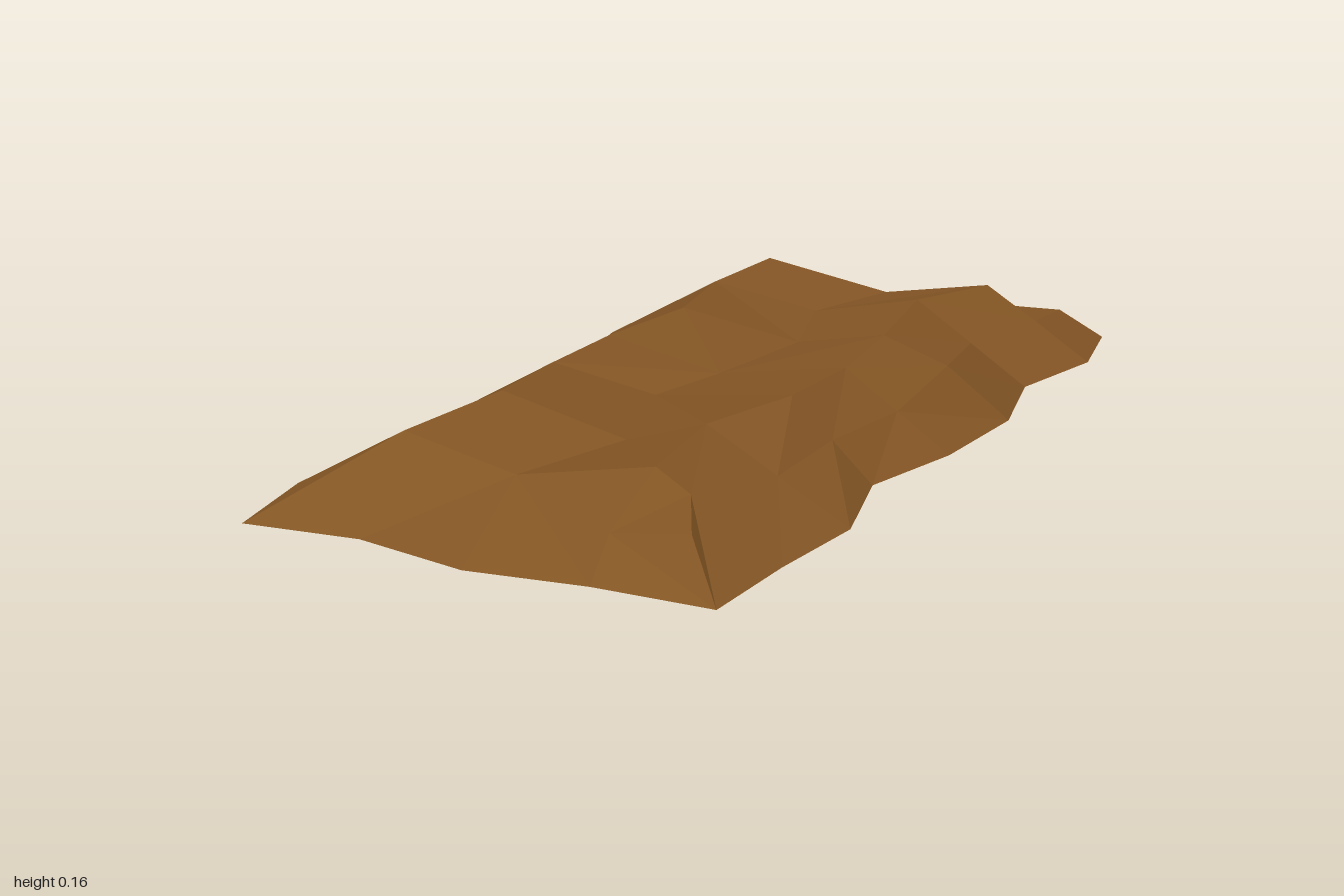
import * as THREE from 'three';

// Cross-sections from back to front: x of five points, z of five points,
// and heights of the left ridge, the hollow and the right ridge (the rim lies on the ground).
const sections = [
  { x: [-0.47, -0.23, 0.0, 0.25, 0.465], z: [-0.97, -0.95, -0.985, -1.0, -0.96], y: [0, 0, 0] },
  { x: [-0.51, -0.26, 0.03, 0.28, 0.51], z: [-0.74, -0.75, -0.75, -0.73, -0.75], y: [0.145, 0.1, 0.15] },
  { x: [-0.525, -0.28, -0.04, 0.21, 0.46], z: [-0.49, -0.52, -0.53, -0.51, -0.51], y: [0.14, 0.1, 0.16] },
  { x: [-0.48, -0.21, 0.03, 0.25, 0.52], z: [-0.25, -0.24, -0.3, -0.25, -0.27], y: [0.155, 0.095, 0.15] },
  { x: [-0.435, -0.26, 0.0, 0.28, 0.505], z: [0, -0.01, 0, 0, 0], y: [0.145, 0.1, 0.148] },
  { x: [-0.48, -0.26, -0.05, 0.28, 0.45], z: [0.24, 0.22, 0.18, 0.24, 0.24], y: [0.145, 0.095, 0.155] },
  { x: [-0.505, -0.22, 0.05, 0.22, 0.52], z: [0.48, 0.48, 0.48, 0.48, 0.49], y: [0.16, 0.1, 0.155] },
  { x: [-0.525, -0.28, -0.04, 0.25, 0.5], z: [0.73, 0.73, 0.73, 0.73, 0.73], y: [0.14, 0.09, 0.148] },
  { x: [-0.48, -0.24, 0.01, 0.25, 0.495], z: [0.97, 0.945, 1.0, 0.97, 0.97], y: [0, 0, 0] },
];

export function createModel() {
  const soil = new THREE.MeshStandardMaterial({ color: 0x835524 });
  soil.name = 'soil brown';
  soil.side = THREE.DoubleSide;
  soil.flatShading = true;

  const V = (x, y, z) => new THREE.Vector3(x, y, z);
  const grid = sections.map((s) => s.x.map((x, i) => V(x, i > 0 && i < 4 ? s.y[i - 1] : 0, s.z[i])));
  const last = grid.length - 1;

  // Extra points halfway down the right-hand slope
  const slope = grid.map((r) => r[3].clone().lerp(r[4], 0.5));
  slope[1] = V(0.39, 0.08, -0.74);
  slope[3] = V(0.4, 0.11, -0.23);
  slope[7] = V(0.32, 0.107, 0.73);

  // Lumps at the two right-hand corners
  const corners = {
    0: { end: V(0.26, 0.07, -0.87), lump: V(0.385, 0.067, -0.9) },
    [last]: { end: V(0.23, 0.062, 0.865), lump: V(0.393, 0.085, 0.865) },
  };

  const positions = [];
  // Adds a triangle with its front upward
  const tri = (a, b, c) => {
    const up = (b.z - a.z) * (c.x - a.x) - (b.x - a.x) * (c.z - a.z) > 0;
    for (const p of up ? [a, b, c] : [a, c, b]) positions.push(p.x, p.y, p.z);
  };
  // a, b on one section and d, c on the next; cut along a-c or b-d
  const quad = (a, b, c, d, alongAC) => {
    if (alongAC) { tri(a, b, c); tri(a, c, d); } else { tri(a, b, d); tri(b, c, d); }
  };

  for (let j = 0; j < last; j++) {
    const r = grid[j], n = grid[j + 1];
    const atEnd = j === 0 || j === last - 1;
    for (let i = 0; i < (atEnd ? 2 : 3); i++) {
      quad(r[i], r[i + 1], n[i + 1], n[i], (i >= 2) !== (j < last / 2));
    }
    if (!atEnd) {
      quad(r[3], slope[j], slope[j + 1], n[3], j >= last / 2);
      quad(slope[j], r[4], n[4], slope[j + 1], j >= last / 2);
    }
  }

  // Right-hand end patches, running from the last full section down to the rim
  for (const [outer, inner] of [[0, 1], [last, last - 1]]) {
    const [, , rimMid, rimSide, corner] = grid[outer];
    const [, , hollow, ridge, side] = grid[inner];
    const { end, lump } = corners[outer];
    const mid = slope[inner];
    tri(hollow, ridge, end);
    tri(hollow, end, rimSide);
    tri(hollow, rimSide, rimMid);
    tri(ridge, end, mid);
    tri(end, lump, mid);
    tri(end, rimSide, corner);
    tri(end, corner, lump);
    tri(lump, corner, mid);
    tri(mid, corner, side);
  }

  const geometry = new THREE.BufferGeometry();
  geometry.setAttribute('position', new THREE.Float32BufferAttribute(positions, 3));
  geometry.computeVertexNormals();

  const mound = new THREE.Mesh(geometry, soil);
  mound.name = 'soilMound';
  const group = new THREE.Group();
  group.name = 'soilBed';
  group.add(mound);
  return group;
}
